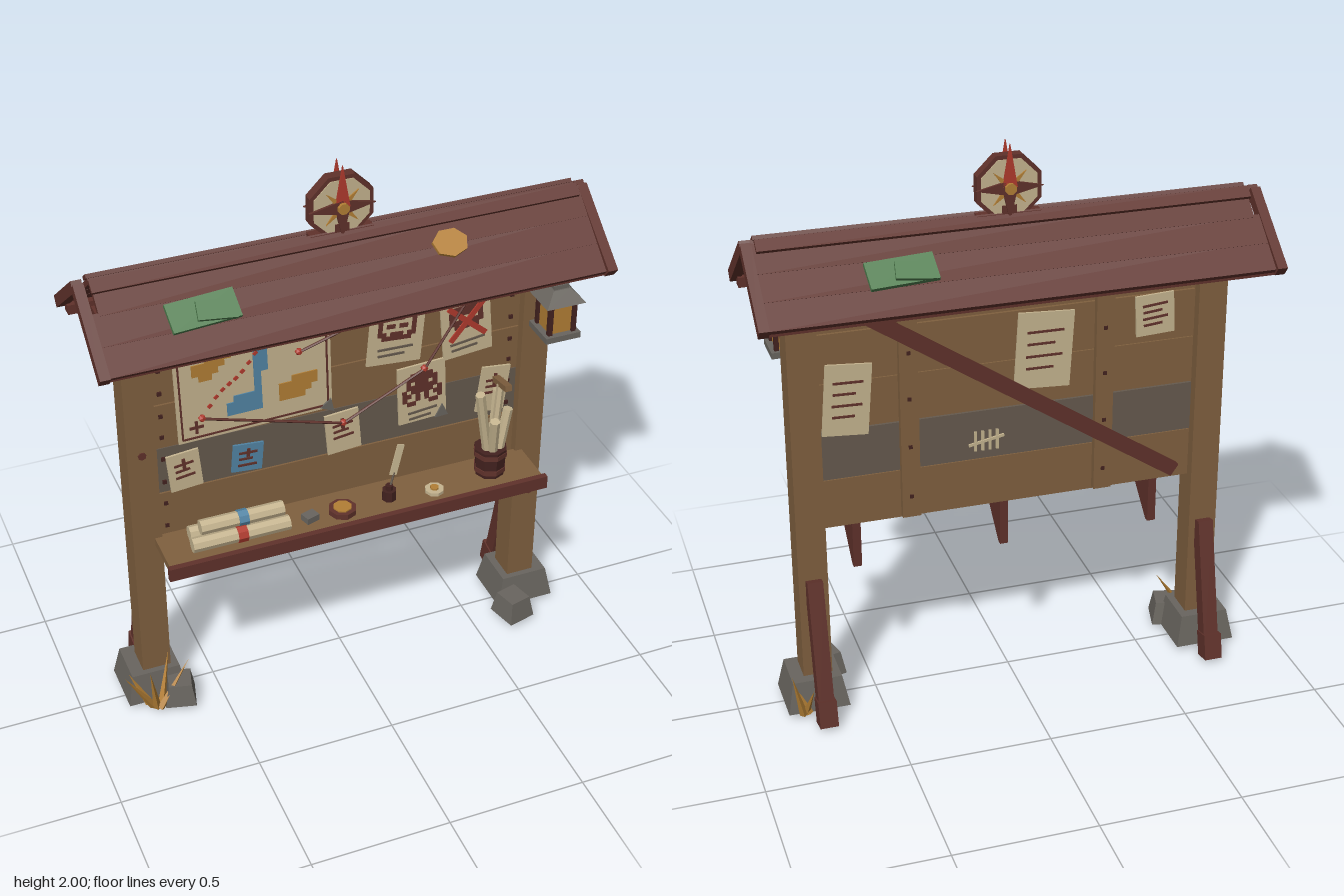
import * as THREE from 'three';

const mat = (name, color) => new THREE.MeshStandardMaterial({ name, color, flatShading: true });

export function createModel() {
  const M = {
    wood: mat('brown wood', 0x80603f), red: mat('red wood', 0x60322b), dark: mat('dark wood', 0x43221f),
    grey: mat('weathered wood', 0x665a4e), stone: mat('stone and iron', 0x69655f), paper: mat('parchment', 0xc6b590),
    gold: mat('gold', 0xb37f35), blue: mat('blue ink', 0x5285a5), green: mat('moss', 0x4f7d4e), paint: mat('red paint', 0xb03a2d),
  };
  const root = new THREE.Group();
  root.name = 'noticeBoard';
  const V = (x, y, z) => new THREE.Vector3(x, y, z);
  const group = (name, parent = root, x = 0, y = 0, z = 0) => {
    const g = new THREE.Group();
    g.name = name; g.position.set(x, y, z); parent.add(g);
    return g;
  };
  const add = (name, parent, geo, m, x = 0, y = 0, z = 0, rz = 0) => {
    const o = new THREE.Mesh(geo, m);
    o.name = name; o.position.set(x, y, z); o.rotation.z = rz; parent.add(o);
    return o;
  };
  const box = (name, p, m, w, h, d, x, y, z, rz) => add(name, p, new THREE.BoxGeometry(w, h, d), m, x, y, z, rz);
  // Orients a y-aligned geometry from a to b
  const span = (name, p, m, a, b, make) => {
    const d = b.clone().sub(a), o = add(name, p, make(d.length()), m);
    o.position.copy(a).add(b).multiplyScalar(0.5);
    o.quaternion.setFromUnitVectors(V(0, 1, 0), d.normalize());
    return o;
  };
  const beam = (n, p, m, a, b, w, d) => span(n, p, m, a, b, l => new THREE.BoxGeometry(w, l, d));
  const rod = (n, p, m, a, b, r, r2 = r, s = 6) => span(n, p, m, a, b, l => new THREE.CylinderGeometry(r2, r, l, s));
  const frustum = (n, p, m, w, h, d, top, x, y, z) =>
    add(n, p, new THREE.CylinderGeometry(Math.SQRT1_2 * top, Math.SQRT1_2, 1, 4).rotateY(Math.PI / 4).scale(w, h, d), m, x, y, z);
  const plate = (n, p, m, pts, depth, x, y, z) =>
    add(n, p, new THREE.ExtrudeGeometry(new THREE.Shape(pts.map(q => new THREE.Vector2(...q))), { depth, bevelEnabled: false }), m, x, y, z);
  // Draws rows of '#' as thin painted strips
  const pixels = (n, p, m, rows, s, x, y) => rows.forEach((row, j) => {
    for (const r of row.matchAll(/#+/g))
      box(n, p, m, r[0].length * s, s, 0.004, x + (r.index + r[0].length / 2 - row.length / 2) * s, y + ((rows.length - 1) / 2 - j) * s, 0.006);
  });
  const cross = (n, p, m, s, t, x, y, z) => [1, -1].forEach(k => box(n, p, m, s, t, 0.005, x, y, z, k * 0.8));

  // Posts with stones and back braces
  for (const s of [-1, 1]) {
    const x = s * 0.72;
    box('post', root, M.wood, 0.103, 1.56, 0.105, x, 0.78, -0.012);
    frustum('footStone', root, M.stone, 0.22, 0.115, 0.205, 0.8, x + s * 0.01, 0.077, -0.02);
    frustum('smallStone', root, M.stone, 0.11, 0.085, 0.12, 0.75, s * 0.655, 0.062, s > 0 ? 0.125 : 0.095).rotation.y = s * 0.25;
    beam('backBrace', root, M.red, V(x, 0.52, -0.07), V(x, 0.04, -0.18), 0.055, 0.055);
    box('braceFoot', root, M.red, 0.065, 0.095, 0.07, x, 0.055, -0.187).rotation.x = 0.22;
    plate('gable', root, M.wood, [[-0.2, 0], [0.2, 0], [0, 0.15]], 0.09, x - 0.045, 1.53, 0).rotation.y = Math.PI / 2;
  }
  [[0.685, 0.53, 0.02], [0.735, 0.52, 0.016], [-0.72, 1.07, 0.015]].forEach(([x, y, r]) =>
    add('knot', root, new THREE.CylinderGeometry(r, r, 0.006, 7).rotateX(Math.PI / 2), M.red, x, y, 0.041));

  // Backboard planks, back battens and nails
  [[0.69, 0.875], [0.875, 1.06], [1.06, 1.235], [1.235, 1.415], [1.415, 1.55]].forEach(([a, b], i) => {
    box('plank', root, i === 1 ? M.grey : M.wood, 1.345, b - a - 0.004, 0.034, 0, (a + b) / 2, -0.008 - (i % 2) * 0.002);
    for (const x of [-0.64, 0.635]) for (const y of [a + 0.045, b - 0.045])
      box('nail', root, M.dark, 0.014, 0.014, 0.008, x, y, 0.01);
  });
  for (const x of [0.36, -0.335]) {
    box('backBatten', root, M.wood, 0.065, 0.84, 0.024, x, 1.12, -0.037);
    for (const y of [0.78, 0.97, 1.15, 1.32, 1.47]) box('nail', root, M.dark, 0.013, 0.013, 0.006, x, y, -0.05);
  }
  beam('diagonalBrace', root, M.red, V(0.57, 1.52, -0.06), V(-0.6, 0.74, -0.06), 0.05, 0.024);

  // Roof: two mirrored slopes of overlapping boards
  for (const s of [1, -1]) {
    const side = group(s > 0 ? 'frontRoof' : 'backRoof');
    side.rotation.y = s > 0 ? 0 : Math.PI;
    const slope = group('slope', side, 0, 1.73, 0);
    slope.rotation.x = 0.66;
    [1.7, 1.74, 1.72].forEach((w, i) =>
      box('roofBoard', slope, M.red, w, 0.02, 0.112, [0.01, -0.005, 0][i] * s, 0.016 - i * 0.005, 0.054 + i * 0.101).rotation.x = 0.04);
    for (const x of [-0.877, 0.872]) box('bargeBoard', slope, M.red, 0.035, 0.04, 0.325, x * s, 0.008, 0.157);
    box('ridgeCap', slope, M.red, 1.69, 0.014, 0.045, 0, 0.033, 0.015);
    const mx = s > 0 ? -0.52 : -0.4;
    box('moss', slope, M.green, 0.23, 0.016, 0.1, mx, 0.034, 0.165).rotation.y = 0.06;
    box('mossClump', slope, M.green, 0.13, 0.016, 0.065, mx + 0.04, 0.046, 0.175).rotation.y = -0.12;
    if (s > 0) add('leaf', slope, new THREE.CylinderGeometry(0.06, 0.06, 0.012, 7).scale(1.05, 1, 0.85), M.gold, 0.345, 0.036, 0.11);
    box('eaveBeam', side, M.red, 1.74, 0.035, 0.04, 0, 1.538, 0.212);
  }
  box('ridgeBeam', root, M.red, 1.66, 0.06, 0.065, 0, 1.605, -0.005);

  // Compass rose on the ridge
  const rose = group('compassRose', root, 0, 1.85, 0);
  const oct = (r, d) => new THREE.CylinderGeometry(r, r, d, 8).rotateY(Math.PI / 8).rotateX(Math.PI / 2);
  add('roseFrame', rose, oct(0.119, 0.036), M.red);
  box('roseStem', rose, M.red, 0.05, 0.08, 0.05, 0, -0.1, 0);
  box('roseFoot', rose, M.red, 0.22, 0.025, 0.05, 0, -0.1, 0);
  for (const s of [0, Math.PI]) {
    const face = group('roseFace', rose);
    face.rotation.y = s;
    add('roseDial', face, oct(0.104, 0.008), M.paper, 0, 0, 0.017);
    for (let i = 0; i < 8; i++) {
      const odd = i % 2, l = i === 0 ? 0.15 : odd ? 0.08 : 0.115, w = odd ? 0.014 : 0.026;
      plate('rosePoint', face, i === 0 ? M.paint : odd ? M.gold : M.red, [[-w, 0], [w, 0], [0, l]], odd ? 0.005 : 0.009, 0, 0, 0.021).rotation.z = i * Math.PI / 4;
    }
    add('roseKnob', face, oct(0.02, 0.022), M.gold, 0, 0, 0.03);
  }

  // Papers
  const note = (name, x, y, w, h, rot, m = M.paper, parent = root, z = 0.017) => {
    const g = group(name, parent, x, y, z);
    g.rotation.z = rot;
    box('sheet', g, m, w, h, 0.008, 0, 0, 0);
    return g;
  };
  const lines = (g, w, y, n, m = M.red, gap = 0.025) => {
    for (let i = 0; i < n; i++) box('writing', g, m, w * (1 - (i % 2) * 0.25), 0.008, 0.004, -(i % 2) * w * 0.1, y - i * gap, 0.006, 0.05);
  };

  // Treasure map
  const map = note('map', -0.315, 1.273, 0.55, 0.4, 0.025);
  for (const s of [-1, 1]) {
    box('mapBorder', map, M.red, 0.52, 0.006, 0.004, 0, s * 0.185, 0.006);
    box('mapBorder', map, M.red, 0.006, 0.37, 0.004, s * 0.26, 0, 0.006);
  }
  pixels('land', map, M.gold, ['..####', '..####', '#####.', '####..', '.##...'], 0.023, -0.145, 0.09);
  pixels('land', map, M.gold, ['..####', '######', '#####.', '####..'], 0.023, 0.155, -0.075);
  pixels('river', map, M.blue, ['....##', '....##', '....##', '....##', '....#.', '....#.', '....#.', '.####.', '#####.', '#####.'], 0.025, -0.025, -0.005);
  for (let i = 0; i < 9; i++)
    box('trail', map, M.paint, 0.016, 0.012, 0.004, -0.16 + i * 0.024, -0.07 + i * 0.023 + Math.sin(i) * 0.008, 0.009, 0.7);
  cross('mapMark', map, M.paint, 0.055, 0.012, 0.07, 0.14, 0.01);
  pixels('mapCompass', map, M.red, ['..#..', '..#..', '#####', '..#..', '..#..'], 0.01, -0.21, -0.145);
  plate('mapCurl', map, M.stone, [[-0.03, 0], [0.02, -0.025], [0.01, 0.03]], 0.008, 0.26, -0.19, 0.003);

  // Wanted posters and small notes
  const p1 = note('poster', 0.2, 1.335, 0.2, 0.265, -0.08);
  pixels('face', p1, M.red, ['.#######.', '#########', '#..###..#', '#.......#', '#.##.##.#', '#.......#', '##.###.##', '.#######.'], 0.0155, 0, 0.025);
  box('title', p1, M.red, 0.15, 0.01, 0.004, 0, 0.11, 0.006);
  lines(p1, 0.13, -0.07, 2, M.grey);
  const p2 = note('poster', 0.46, 1.3, 0.185, 0.255, 0.09);
  pixels('face', p2, M.red, ['.#####.', '#######', '#.#.#.#', '#######', '.#.#.#.'], 0.018, 0, 0.03);
  box('title', p2, M.red, 0.13, 0.01, 0.004, 0, 0.105, 0.006);
  cross('crossOut', p2, M.paint, 0.19, 0.02, 0, 0.015, 0.012);
  lines(p2, 0.13, -0.07, 2, M.grey);
  const p3 = note('poster', 0.3, 1.055, 0.18, 0.235, 0.05);
  pixels('creature', p3, M.red, ['..#####..', '.#######.', '.#.###.#.', '.#######.', '#.#####.#', '##.#.#.##', '#..#.#..#', '.##...##.'], 0.0165, 0, 0.02);
  lines(p3, 0.11, -0.075, 2, M.grey);
  plate('curl', p3, M.stone, [[-0.03, -0.015], [0.02, -0.015], [0, 0.035]], 0.008, 0.075, -0.105, 0.002);
  [[-0.57, 0.955, 0.115, 0.15, 0.09], [-0.345, 0.95, 0.11, 0.11, -0.09, M.blue], [0.005, 0.965, 0.125, 0.165, 0.08], [0.575, 1.0, 0.11, 0.185, -0.12]].forEach(([x, y, w, h, r, m]) => {
    const n = note('smallNote', x, y, w, h, r, m);
    lines(n, w * 0.6, h * 0.2, 3);
    box('ribbon', n, M.red, 0.012, h * 0.3, 0.004, 0, h * 0.2, 0.007);
  });

  // Papers and tally marks on the back
  const rear = group('rearPapers');
  rear.rotation.y = Math.PI;
  [[-0.57, 1.17, 0.16, 0.26, -0.08], [0.12, 1.26, 0.2, 0.28, -0.06], [0.52, 1.34, 0.14, 0.15, 0.05]].forEach(([x, y, w, h, r]) =>
    lines(note('rearNote', x, y, w, h, r, M.paper, rear, 0.031), w * 0.65, h * 0.25, 4, M.red, h * 0.16));
  for (let i = 0; i < 4; i++) box('tally', rear, M.paper, 0.01, 0.075, 0.006, -0.125 + i * 0.026, 0.945, 0.029);
  box('tally', rear, M.paper, 0.13, 0.01, 0.006, -0.086, 0.945, 0.031, 0.2);

  // Red strings between pins
  const clue = [[[-0.16, 1.345], [0.2, 1.46], [0.45, 1.405]], [[-0.505, 1.165], [0, 1.015], [0.3, 1.165], [0.45, 1.405]]];
  for (const path of clue) path.forEach(([x, y], i) => {
    add('pin', root, new THREE.IcosahedronGeometry(0.014), M.paint, x, y, 0.036);
    if (i) rod('string', root, M.red, V(...path[i - 1], 0.04), V(x, y, 0.04), 0.005, 0.005, 5);
  });

  // Shelf and brackets
  box('shelf', root, M.wood, 1.39, 0.03, 0.195, 0, 0.7, 0.125);
  box('shelfLip', root, M.red, 1.405, 0.05, 0.022, -0.003, 0.704, 0.229);
  for (const x of [-0.55, 0.01, 0.545])
    plate('bracket', root, M.red, [[-0.01, 0.685], [-0.205, 0.685], [-0.205, 0.65], [-0.03, 0.5], [-0.01, 0.5]], 0.03, x - 0.015, 0, 0).rotation.y = Math.PI / 2;

  // Things on the shelf
  [[-0.425, 0.745, 0.16, 0.35, M.paint], [-0.42, 0.745, 0.095, 0.34, M.blue], [-0.41, 0.787, 0.128, 0.3, M.blue]].forEach(([x, y, z, l, band]) => {
    rod('scroll', root, M.paper, V(x - l / 2, y, z), V(x + l / 2, y, z), 0.027, 0.027, 8);
    rod('scrollBand', root, band, V(x - 0.015, y, z), V(x + 0.02, y, z), 0.03, 0.03, 8);
  });
  box('smallBox', root, M.stone, 0.05, 0.024, 0.04, -0.165, 0.727, 0.14).rotation.y = 0.3;
  const disc = (n, m, r, h, x, y, z) => add(n, root, new THREE.CylinderGeometry(r, r, h, 8), m, x, y, z);
  disc('pocketCompass', M.red, 0.05, 0.02, -0.045, 0.725, 0.14);
  disc('compassDial', M.gold, 0.033, 0.006, -0.045, 0.737, 0.14);
  disc('inkPot', M.dark, 0.026, 0.04, 0.135, 0.735, 0.13);
  disc('inkNeck', M.dark, 0.014, 0.02, 0.135, 0.763, 0.13);
  rod('quill', root, M.grey, V(0.135, 0.75, 0.13), V(0.155, 0.82, 0.125), 0.004);
  beam('feather', root, M.paper, V(0.15, 0.81, 0.125), V(0.183, 0.925, 0.115), 0.026, 0.006);
  disc('saucer', M.paper, 0.035, 0.012, 0.3, 0.721, 0.15);
  disc('coin', M.gold, 0.016, 0.008, 0.3, 0.73, 0.15);

  // Bucket of rolled maps
  add('bucket', root, new THREE.CylinderGeometry(0.06, 0.053, 0.11, 8), M.dark, 0.53, 0.77, 0.115);
  disc('bucketHoop', M.red, 0.062, 0.018, 0.53, 0.805, 0.115);
  disc('bucketHoop', M.red, 0.059, 0.018, 0.53, 0.74, 0.115);
  [[0.52, 0.12, 0.465, 1.08, 0.145], [0.54, 0.1, 0.57, 1.03, 0.07], [0.53, 0.13, 0.515, 0.97, 0.17], [0.55, 0.13, 0.585, 0.98, 0.125]].forEach(([x, z, x2, y2, z2]) =>
    rod('rolledMap', root, M.paper, V(x, 0.78, z), V(x2, y2, z2), 0.018, 0.018, 7));
  beam('caneHandle', root, M.wood, V(0.565, 1.09, 0.16), V(0.565, 1.07, 0.06), 0.025, 0.022);
  rod('cane', root, M.paper, V(0.545, 0.78, 0.1), V(0.565, 1.08, 0.1), 0.014);

  // Hanging lantern
  beam('lanternArm', root, M.red, V(0.725, 1.535, 0.21), V(0.725, 1.49, 0.03), 0.032, 0.026);
  beam('armBrace', root, M.red, V(0.725, 1.51, 0.12), V(0.725, 1.4, 0.035), 0.026, 0.022);
  const lamp = group('lantern', root, 0.725, 1.29, 0.165);
  box('lampBase', lamp, M.stone, 0.13, 0.022, 0.13, 0, 0.011, 0);
  box('lampGlass', lamp, M.gold, 0.085, 0.12, 0.085, 0, 0.08, 0);
  for (const x of [-1, 1]) for (const z of [-1, 1]) box('lampFrame', lamp, M.dark, 0.016, 0.125, 0.016, x * 0.044, 0.082, z * 0.044);
  frustum('lampRoof', lamp, M.stone, 0.145, 0.045, 0.145, 0.45, 0, 0.163, 0);
  box('lampCap', lamp, M.stone, 0.055, 0.02, 0.055, 0, 0.19, 0);
  add('lampRing', lamp, new THREE.TorusGeometry(0.018, 0.005, 5, 10), M.dark, 0, 0.213, 0);

  // Dry grass tufts: base x, z, then tip x, y, z
  [[-0.76, 0.11, -0.865, 0.21, 0.14], [-0.75, 0.12, -0.78, 0.23, 0.17], [-0.73, 0.11, -0.68, 0.22, 0.06], [-0.74, 0.13, -0.62, 0.2, 0.11], [-0.77, 0.09, -0.83, 0.15, 0.06],
    [0.79, -0.13, 0.83, 0.2, -0.16], [0.78, -0.12, 0.76, 0.15, -0.19], [0.77, -0.13, 0.81, 0.12, -0.1]].forEach(([x, z, tx, ty, tz]) =>
    rod('grassBlade', root, M.gold, V(x, 0.02, z), V(tx, ty, tz), 0.015, 0, 4));
  return root;
}
